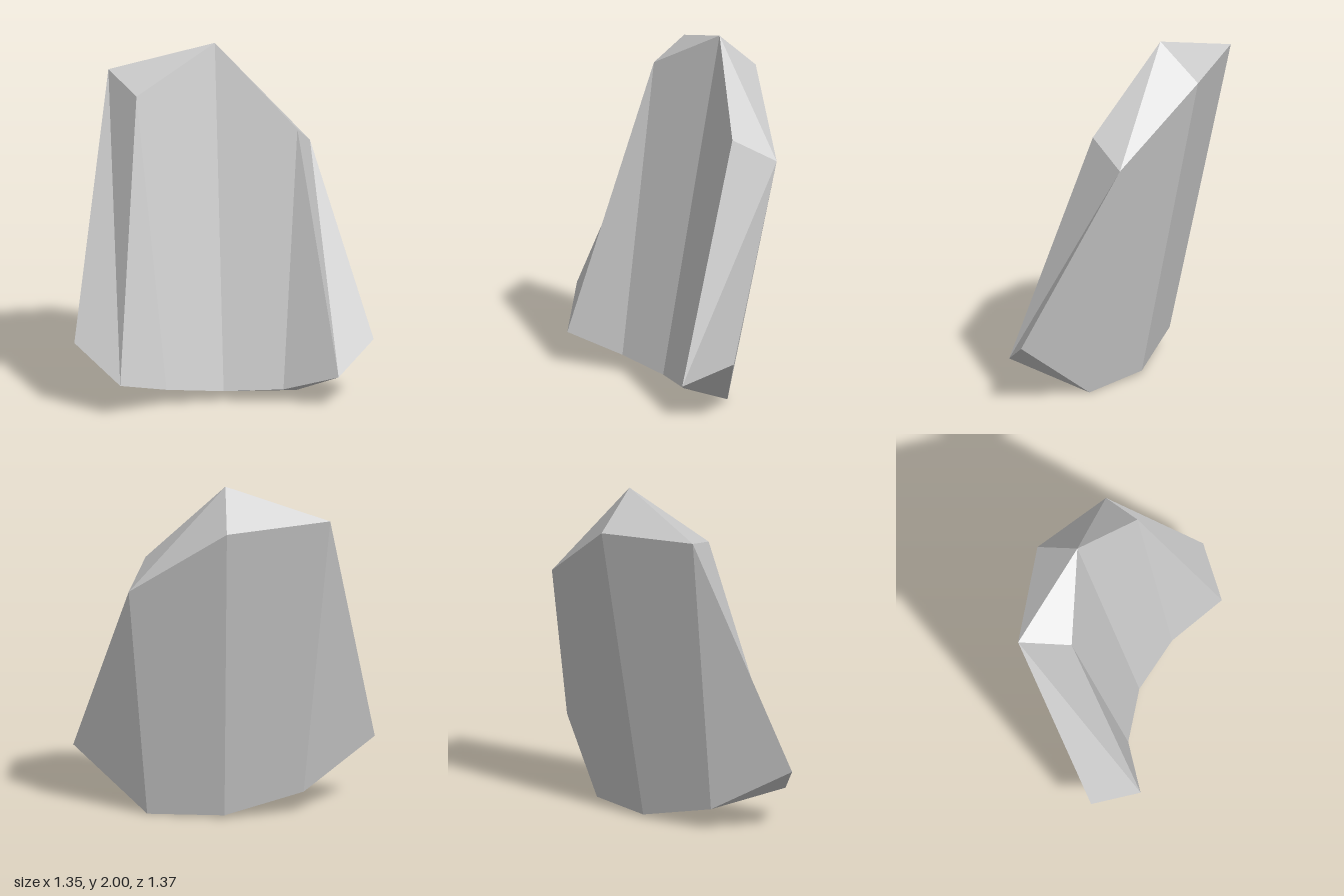
import * as THREE from 'three';

// Cross-sections along the curved slab, from its right end round to its left end.
// Each ring: inner bottom, inner top, outer top, outer bottom.
// Both ends taper to a single edge, so their top and bottom corners coincide.
const endRing = (inner, outer) => [inner, inner, outer, outer];
const rings = [
  endRing([-0.642, 0.19, -0.147], [-0.677, 0.39, -0.458]),
  [[-0.302, 0.1, -0.095], [-0.207, 1.745, -0.4], [-0.115, 1.83, -0.688], [-0.22, 0.135, -0.358]],
  [[-0.011, 0.06, 0.08], [0.238, 2, -0.2], [0.397, 1.79, -0.381], [0.16, 0.02, -0.11]],
  [[0.19, 0.078, 0.352], [0.443, 1.53, 0.238], [0.673, 1.395, 0.134], [0.418, 0.003, 0.252]],
  endRing([0.28, 0.193, 0.685], [0.583, 0.35, 0.685]),
];

function createSlabGeometry() {
  const positions = [];
  const addTriangle = (a, b, c) => {
    if (a === b || b === c || c === a) return; // collapsed at the tapered ends
    positions.push(...a, ...b, ...c);
  };
  for (let i = 0; i < rings.length - 1; i++) {
    for (let k = 0; k < 4; k++) {
      const n = (k + 1) % 4;
      const a = rings[i][k], b = rings[i + 1][k];
      const c = rings[i + 1][n], d = rings[i][n];
      // Facet diagonals zigzag along the slab; the underside mirrors the top
      if ((i % 2 === 0) === (k < 2)) {
        addTriangle(a, b, c);
        addTriangle(a, c, d);
      } else {
        addTriangle(a, b, d);
        addTriangle(b, c, d);
      }
    }
  }
  const geometry = new THREE.BufferGeometry();
  geometry.setAttribute('position', new THREE.Float32BufferAttribute(positions, 3));
  geometry.computeVertexNormals();
  return geometry;
}

export function createModel() {
  const group = new THREE.Group();
  group.name = 'curvedRockShard';

  const material = new THREE.MeshStandardMaterial({ color: 0xcccccc, flatShading: true });
  const slab = new THREE.Mesh(createSlabGeometry(), material);
  slab.name = 'rockSlab';
  group.add(slab);
  return group;
}
